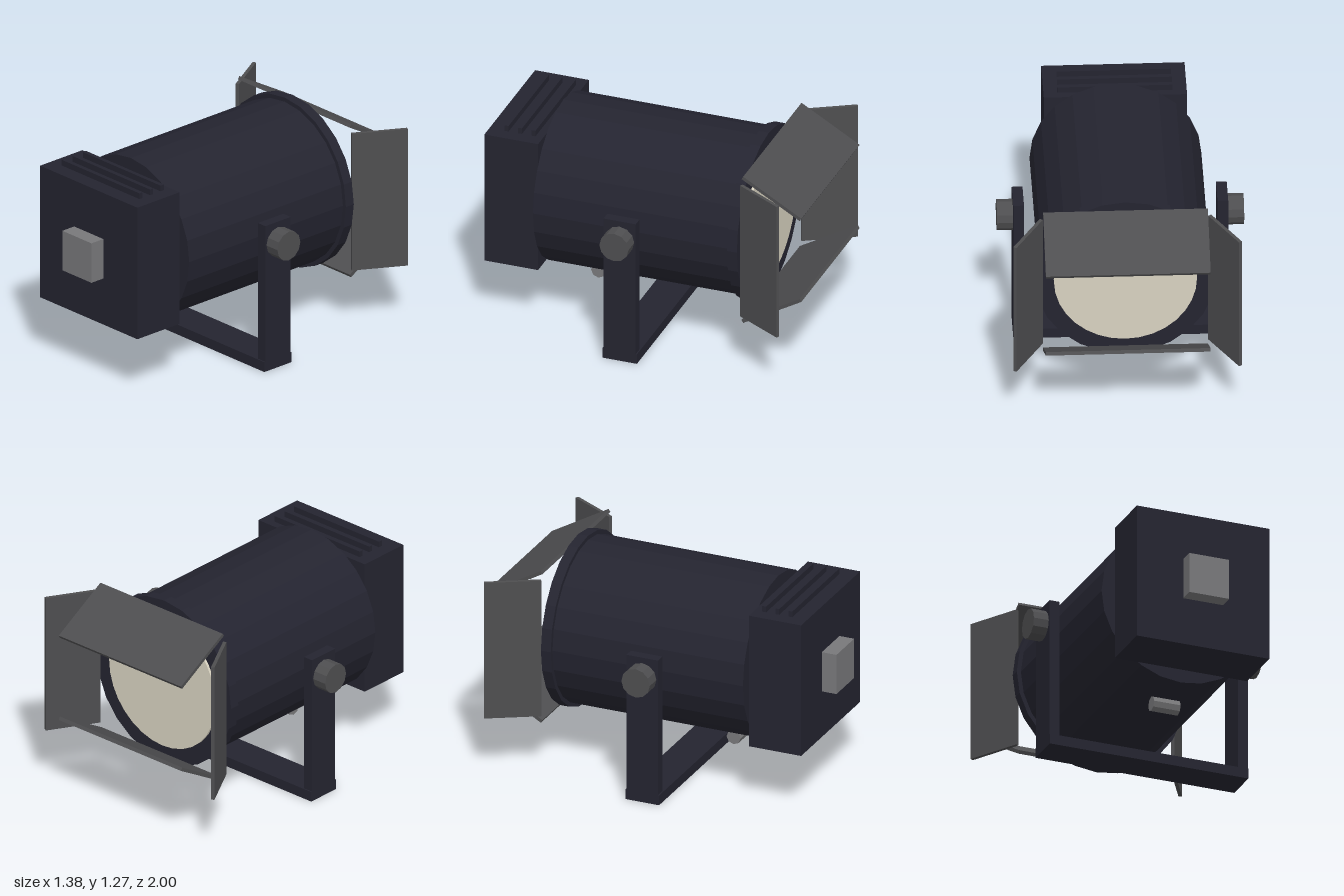
import * as THREE from 'three';

const material = (name, color) => {
  const m = new THREE.MeshStandardMaterial({ color, flatShading: true });
  m.name = name;
  return m;
};

export function createModel() {
  const paint = material('dark body paint', 0x242430);
  const metal = material('dark grey metal', 0x4e4e50);
  const grey = material('mid grey plastic', 0x78787a);
  const glass = material('warm lens glass', 0xd8d2c0);

  const model = new THREE.Group();
  model.name = 'stageSpotlight';

  const add = (name, geometry, mat, x, y, z) => {
    const mesh = new THREE.Mesh(geometry, mat);
    mesh.name = name;
    mesh.position.set(x, y, z);
    model.add(mesh);
    return mesh;
  };
  const box = (name, w, h, d, mat, x, y, z) =>
    add(name, new THREE.BoxGeometry(w, h, d), mat, x, y, z);
  // Cylinders lying along z or x
  const tubeZ = (name, r, z0, z1, sides, mat) =>
    add(name, new THREE.CylinderGeometry(r, r, z1 - z0, sides).rotateX(Math.PI / 2),
      mat, 0, axisY, (z0 + z1) / 2);
  const tubeX = (name, r, length, sides, mat, x, y, z) =>
    add(name, new THREE.CylinderGeometry(r, r, length, sides).rotateZ(Math.PI / 2), mat, x, y, z);

  const axisY = 0.765;
  const pivotZ = 0.028;
  const splay = Math.PI / 6;

  // Barrel, rim and lens
  tubeZ('barrel', 0.48, -0.6, 0.59, 24, paint);
  tubeZ('rim', 0.505, -0.635, -0.575, 24, paint);
  tubeZ('lens', 0.4, -0.634, -0.65, 32, glass).geometry =
    new THREE.CylinderGeometry(0.4, 0.4, 0.016, 32).rotateX(Math.PI / 2);

  // Lamp housing with cooling fins and a rear block
  box('lampHousing', 0.8, 0.8, 0.32, paint, 0, axisY, 0.75);
  for (const z of [0.648, 0.728, 0.808]) {
    box('coolingFin', 0.64, 0.05, 0.024, paint, 0, 1.175, z);
  }
  box('rearBlock', 0.24, 0.24, 0.1, grey, 0, axisY, 0.95);

  // Focus knob under the barrel
  tubeX('focusKnob', 0.043, 0.16, 8, grey, 0, 0.243, 0.352);

  // Yoke with its arms and tilt knobs
  box('yokeBase', 1.2, 0.06, 0.206, paint, 0, 0.03, pivotZ);
  for (const side of [-1, 1]) {
    box('yokeArm', 0.06, 0.87, 0.192, paint, side * 0.57, 0.45, pivotZ);
    tubeX('tiltKnob', 0.087, 0.09, 12, metal, side * 0.645, axisY, pivotZ);
  }

  // Barn doors: top and bottom fold inward, the sides splay outward
  for (const side of [-1, 1]) {
    box('horizontalBarnDoor', 0.92, 0.02, 0.4, metal, 0, axisY + side * 0.356, -0.824)
      .rotation.x = -side * splay;
    box('sideBarnDoor', 0.02, 0.83, 0.32, metal, side * 0.55, axisY, -0.788)
      .rotation.y = -side * splay;
  }

  return model;
}
